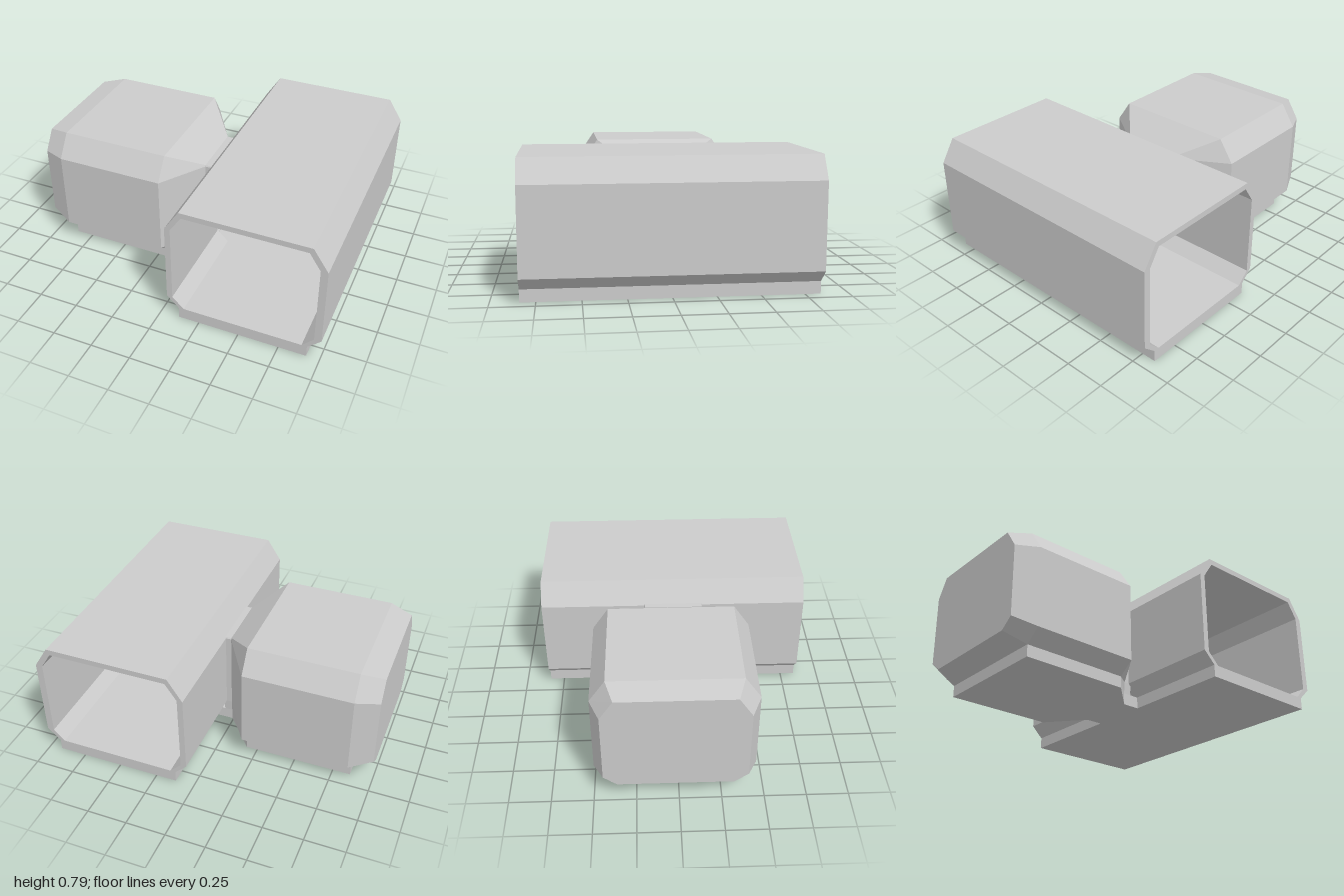
import * as THREE from 'three';

const material = () => new THREE.MeshStandardMaterial({ color: 0xcccccc, flatShading: true, side: THREE.DoubleSide });

function addMesh(parent, geometry, name) {
  const mesh = new THREE.Mesh(geometry, material());
  mesh.name = name;
  parent.add(mesh);
  return mesh;
}

const vec = (points) => points.map(([x, y]) => new THREE.Vector2(x, y));

// Extrude an x-y outline between two z positions
function slab(shape, z0, z1) {
  return new THREE.ExtrudeGeometry(shape, { depth: z1 - z0, bevelEnabled: false }).translate(0, 0, z0);
}

// Loft eight-sided sections along x; each station is
// [x, centre z, bottom y, low y, high y, top y, bottom half, middle half, top half]
function loft(stations) {
  const pos = [], idx = [];
  stations.forEach(([x, c, y0, y1, y2, y3, b, m, t]) => {
    const half = [[y3, t], [y2, m], [y1, m], [y0, b]];
    half.forEach(([y, z]) => pos.push(x, y, c + z));
    half.reverse().forEach(([y, z]) => pos.push(x, y, c - z));
  });
  for (let i = 0; i < stations.length - 1; i++) {
    for (let j = 0; j < 8; j++) {
      const k = (j + 1) % 8, a = i * 8, n = a + 8;
      idx.push(a + j, a + k, n + j, a + k, n + k, n + j);
    }
  }
  const g = new THREE.BufferGeometry();
  g.setAttribute('position', new THREE.Float32BufferAttribute(pos, 3));
  g.setIndex(idx);
  const flat = g.toNonIndexed();
  flat.computeVertexNormals();
  return flat;
}

export function createModel() {
  const model = new THREE.Group();
  const floorY = 0.073, length = 0.84, door = 0.15, doorTop = 0.62;

  // Open-ended corridor with chamfered corners
  const corridor = new THREE.Group();
  corridor.name = 'corridor';
  model.add(corridor);

  const outer = [[0.12, floorY], [0.92, floorY], [1, 0.147], [1, 0.652], [0.91, 0.79], [0.135, 0.79], [0.045, 0.652], [0.045, 0.147]];
  const inner = [[0.152, floorY + 0.002], [0.888, floorY + 0.002], [0.957, 0.147], [0.957, 0.652], [0.89, 0.755], [0.15, 0.755], [0.08, 0.652], [0.08, 0.147]];
  const ring = new THREE.Shape(vec(outer));
  ring.holes.push(new THREE.Path(vec(inner)));
  addMesh(corridor, slab(ring, -length, -door), 'corridorBack');
  addMesh(corridor, slab(ring, door, length), 'corridorFront');

  // Middle stretch, with the wall left out for the doorway
  const gap = new THREE.Shape(vec([
    ...outer.slice(1, 7), [0.045, doorTop], [0.08, doorTop], ...inner.slice(1, 7).reverse(),
  ]));
  addMesh(corridor, slab(gap, -door, door), 'corridorDoorway');

  const floor = new THREE.BoxGeometry(0.8, floorY, 2 * length).translate(0.52, floorY / 2, 0);
  addMesh(corridor, floor, 'corridorFloor');

  // Hollow side room: outer skin to the neck, then back along the inner skin
  const c = -0.02;
  addMesh(model, loft([
    [-1, c, 0.45, 0.45, 0.45, 0.45, 0, 0, 0],
    [-1, c, 0.13, 0.19, 0.64, 0.76, 0.34, 0.42, 0.34],
    [-0.86, c, floorY, 0.147, 0.65, 0.79, 0.385, 0.48, 0.385],
    [-0.18, c, floorY, 0.147, 0.65, 0.79, 0.385, 0.48, 0.385],
    [0.01, 0, floorY, 0.147, 0.652, 0.66, 0.18, 0.185, 0.18],
    [0.06, 0, floorY, 0.147, 0.652, 0.66, 0.18, 0.185, 0.18],
    [0.06, 0, 0.077, 0.147, 0.6, doorTop, door, door, door],
    [0, 0, 0.077, 0.147, 0.6, doorTop, door, door, door],
    [-0.19, c, 0.08, 0.155, 0.64, 0.755, 0.365, 0.445, 0.365],
    [-0.85, c, 0.08, 0.155, 0.64, 0.755, 0.365, 0.445, 0.365],
    [-0.965, c, 0.14, 0.2, 0.63, 0.73, 0.32, 0.39, 0.32],
    [-0.965, c, 0.45, 0.45, 0.45, 0.45, 0, 0, 0],
  ]), 'sideRoom');

  // Room base, narrowing to the neck and meeting the corridor floor
  const plan = new THREE.Shape(vec([
    [-0.86, -0.365], [-0.18, -0.365], [0.01, -0.18], [0.12, -0.18],
    [0.12, 0.18], [0.01, 0.18], [-0.18, 0.405], [-0.86, 0.405],
  ]));
  const base = slab(plan, 0, floorY).rotateX(-Math.PI / 2);
  addMesh(model, base, 'sideRoomBase');

  return model;
}
